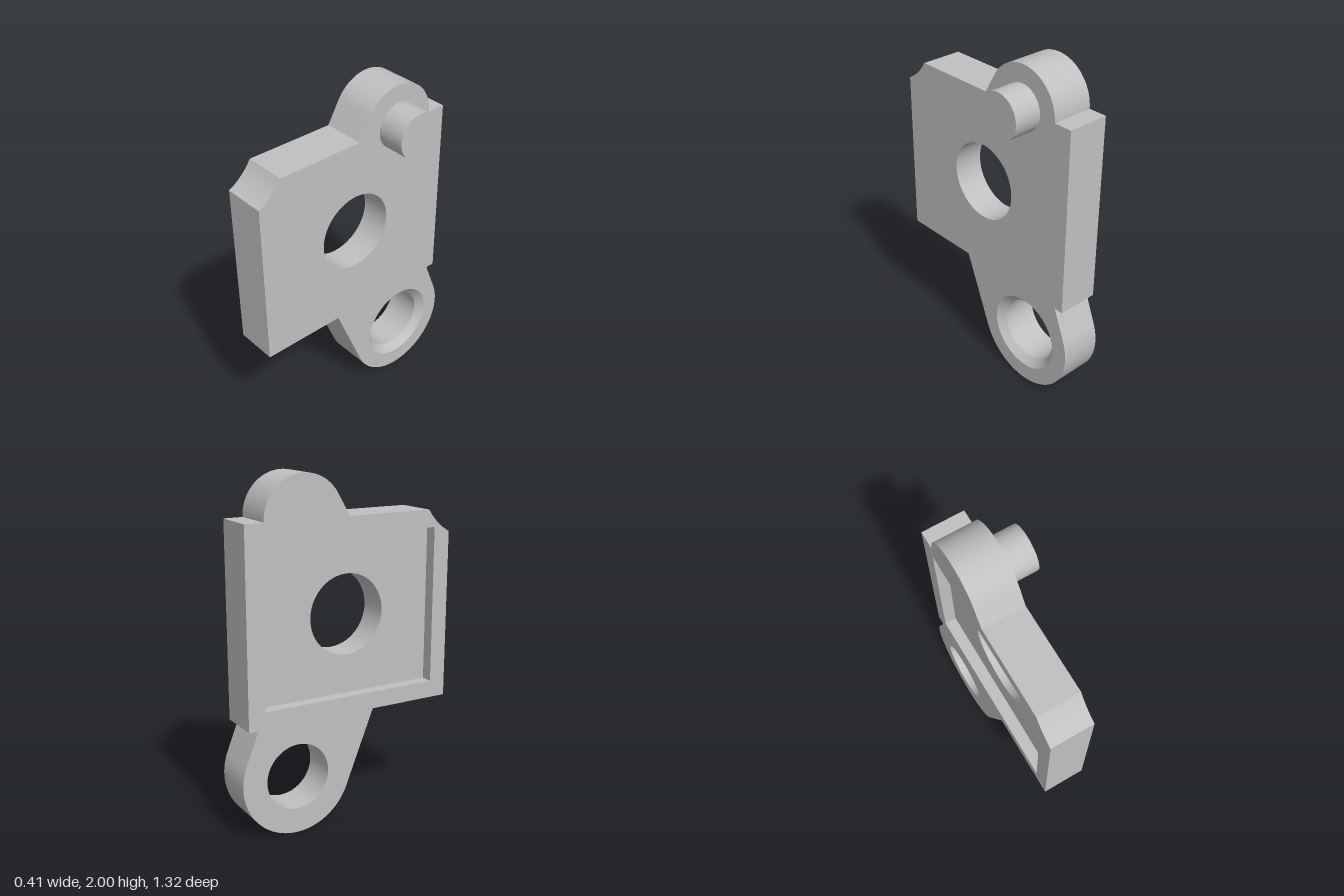
import * as THREE from 'three';
import { mergeGeometries, toCreasedNormals } from 'three/addons/utils/BufferGeometryUtils.js';

// Profiles are drawn in (u, y) with u = -z, then turned so depth runs along x.
const BACK = -0.21, FLOOR = -0.14, FACE = 0.04, PIN_END = 0.205;
const rad = THREE.MathUtils.degToRad;

function circle(u, y, r, n = 64) {
  return Array.from({ length: n }, (_, i) => {
    const a = (i / n) * Math.PI * 2;
    return new THREE.Vector2(u + r * Math.cos(a), y + r * Math.sin(a));
  });
}

// Wall between two matching loops; counter-clockwise loops face outward
function wall(a, xa, b, xb, inward = false) {
  const pos = [];
  for (let i = 0; i < a.length; i++) {
    const j = (i + 1) % a.length;
    const A = [a[i].x, a[i].y, xa], B = [a[j].x, a[j].y, xa];
    const C = [b[j].x, b[j].y, xb], D = [b[i].x, b[i].y, xb];
    pos.push(...(inward ? [A, C, B, A, D, C] : [A, B, C, A, C, D]).flat());
  }
  const g = new THREE.BufferGeometry();
  g.setAttribute('position', new THREE.Float32BufferAttribute(pos, 3));
  return g;
}

// Flat face with holes at depth x, facing +x or -x
function cap(loop, holes, x, faceBack = false) {
  const shape = new THREE.Shape(loop);
  shape.holes = holes.map((h) => new THREE.Path(h));
  const indexed = new THREE.ShapeGeometry(shape);
  if (faceBack) indexed.index.array.reverse();
  const g = indexed.toNonIndexed();
  g.deleteAttribute('uv');
  g.deleteAttribute('normal');
  return g.translate(0, 0, x);
}

function plateOutline() {
  const s = new THREE.Shape();
  s.moveTo(-0.66, 0.65);
  s.lineTo(-0.16, 0.65);
  s.absarc(0.327, 0.337, 0.336, rad(201.9), rad(381.3), false); // lower lug
  s.lineTo(0.565, 0.65);
  s.lineTo(0.62, 0.65);
  s.lineTo(0.62, 1.76);
  s.absarc(0.275, 1.765, 0.235, rad(-1.2), rad(149.8), false); // upper lug
  s.lineTo(0, 1.76);
  s.lineTo(-0.52, 1.76);
  s.quadraticCurveTo(-0.572, 1.675, -0.66, 1.63); // scooped corner
  const pts = s.getPoints(24);
  if (pts[0].distanceTo(pts[pts.length - 1]) < 1e-6) pts.pop();
  return pts;
}

export function createModel() {
  const group = new THREE.Group();
  const grey = new THREE.MeshStandardMaterial({ color: 0xc0c0c0 });
  grey.name = 'plain grey';

  const outline = plateOutline();
  const window = circle(-0.025, 1.205, 0.231);
  const bore = circle(0.327, 0.337, 0.191);
  const sink = circle(0.327, 0.337, 0.234);
  const recess = [[-0.56, 0.75], [0.52, 0.75], [0.52, 1.66], [-0.56, 1.66]]
    .map(([u, y]) => new THREE.Vector2(u, y));

  const geometry = mergeGeometries([
    wall(outline, BACK, outline, FACE),
    cap(outline, [window, sink], FACE),
    cap(outline, [recess, bore], BACK, true),
    // shallow rectangular pocket
    wall(recess, BACK, recess, FLOOR, true),
    cap(recess, [window], FLOOR, true),
    // central hole, lug bore and its countersink
    wall(window, FLOOR, window, FACE, true),
    wall(bore, BACK, bore, FACE - 0.043, true),
    wall(bore, FACE - 0.043, sink, FACE, true),
  ]).rotateY(Math.PI / 2);
  const plate = new THREE.Mesh(toCreasedNormals(geometry, 0.4), grey);
  plate.name = 'bracketPlate';
  group.add(plate);

  // Pin standing out of the upper lug
  const pin = new THREE.Mesh(
    new THREE.CylinderGeometry(0.132, 0.132, PIN_END - FACE, 64), grey);
  pin.name = 'pin';
  pin.rotation.z = -Math.PI / 2;
  pin.position.set((FACE + PIN_END) / 2, 1.765, -0.275);
  group.add(pin);

  return group;
}
